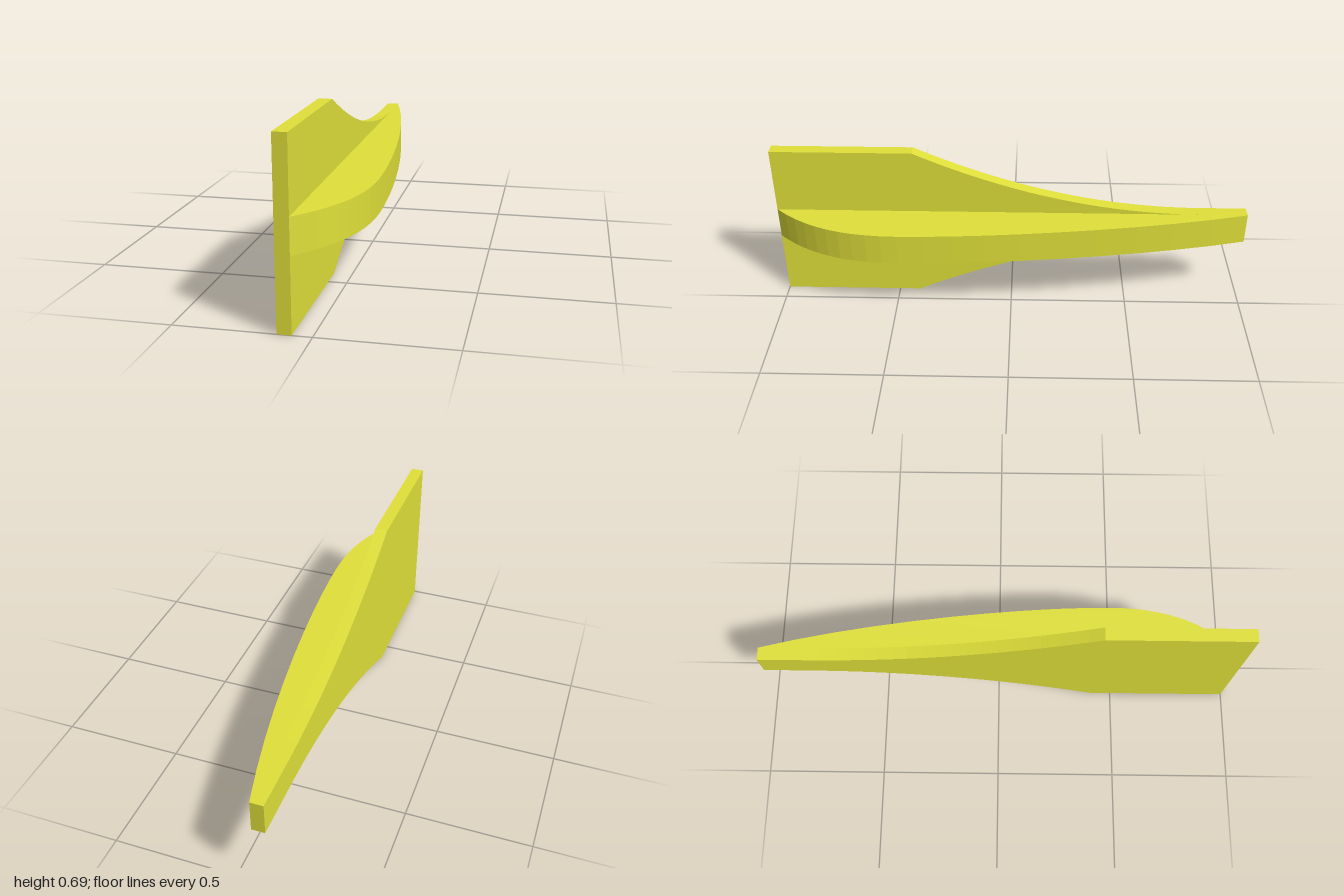
import * as THREE from 'three';

export function createModel() {
  const group = new THREE.Group();
  group.name = 'ribbedBracket';
  const material = new THREE.MeshStandardMaterial({ color: 0xe0e03a, flatShading: true });

  const plateFace = -0.072, plateBack = -0.125;
  const height = 0.695, ribLow = 0.28, ribHigh = 0.415;

  // Upright plate: tall at the front, sweeping in to a narrow tail (drawn in z, y)
  const plateShape = new THREE.Shape();
  plateShape.moveTo(1, 0);
  plateShape.lineTo(1, height);
  plateShape.lineTo(0.41, height);
  plateShape.quadraticCurveTo(-0.195, ribHigh, -0.8, ribHigh);
  plateShape.lineTo(-1, ribHigh);
  plateShape.lineTo(-1, ribLow);
  plateShape.lineTo(-0.8, ribLow);
  plateShape.quadraticCurveTo(-0.195, ribLow, 0.41, 0);
  plateShape.closePath();
  const plateGeometry = new THREE.ExtrudeGeometry(plateShape, {
    depth: plateFace - plateBack, bevelEnabled: false, curveSegments: 20,
  });
  plateGeometry.rotateY(-Math.PI / 2).translate(plateFace, 0, 0);
  const plate = new THREE.Mesh(plateGeometry, material);
  plate.name = 'plate';

  // Curved rib along the middle of the plate (drawn in x, -z)
  const ribShape = new THREE.Shape();
  ribShape.moveTo(plateFace, -1);
  ribShape.bezierCurveTo(0.06, -0.86, 0.123, -0.7, 0.123, -0.47);
  ribShape.bezierCurveTo(0.123, -0.15, 0.06, 0.5, plateFace, 1);
  ribShape.closePath();
  const ribGeometry = new THREE.ExtrudeGeometry(ribShape, {
    depth: ribHigh - ribLow, bevelEnabled: false, curveSegments: 10,
  });
  ribGeometry.rotateX(-Math.PI / 2).translate(0, ribLow, 0);
  const rib = new THREE.Mesh(ribGeometry, material);
  rib.name = 'rib';

  group.add(plate, rib);
  return group;
}
